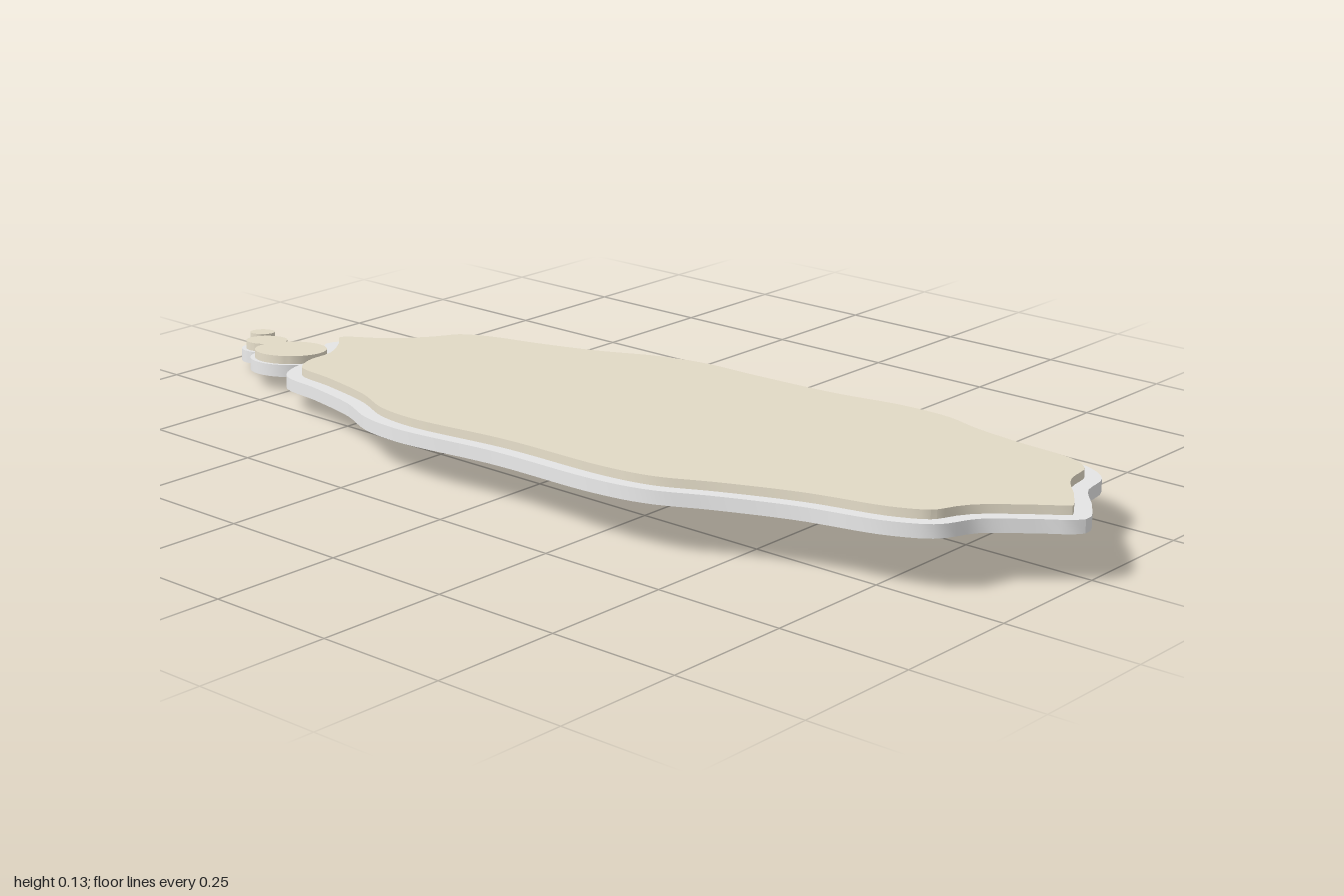
import * as THREE from 'three';
import { toCreasedNormals } from 'three/addons/utils/BufferGeometryUtils.js';

const RIM_HEIGHT = 0.024;
const TOP_HEIGHT = 0.04;
const BORDER = 0.03;

// Wavy outline as x, z pairs, anticlockwise seen from above
const OUTLINE = [
  1.0, 0.027, 0.963, -0.048, 0.9, -0.134, 0.872, -0.22, 0.808, -0.273, 0.663, -0.31,
  0.556, -0.342, 0.465, -0.38, 0.342, -0.396, 0.193, -0.386, 0.005, -0.396, -0.16, -0.41,
  -0.273, -0.39, -0.385, -0.342, -0.503, -0.31, -0.636, -0.283, -0.7, -0.246, -0.727, -0.176,
  -0.77, -0.112, -0.84, -0.059, -0.85, -0.021, -0.797, 0.037, -0.749, 0.102, -0.727, 0.176,
  -0.674, 0.246, -0.556, 0.278, -0.422, 0.321, -0.316, 0.374, -0.209, 0.396, 0.021, 0.39,
  0.273, 0.408, 0.38, 0.396, 0.487, 0.348, 0.62, 0.3, 0.781, 0.267, 0.85, 0.225,
  0.877, 0.15, 0.941, 0.086,
];

// Trailing bubbles: x, z, outer radius, border width
const BUBBLES = [
  ['largeBubble', -0.802, 0.12, 0.08, 0.009],
  ['mediumBubble', -0.9, 0.097, 0.05, 0.009],
  ['smallBubble', -0.967, 0.049, 0.033, 0.008],
];

// Upright slab between two heights from a closed outline
function slab(points, bottom, top) {
  const geo = new THREE.ExtrudeGeometry(new THREE.Shape(points), {
    depth: top - bottom, bevelEnabled: false,
  });
  geo.rotateX(-Math.PI / 2);
  geo.translate(0, bottom, 0);
  return toCreasedNormals(geo, 0.6);
}

// Smooth closed curve, pushed inwards by the inset
function cloudPoints(inset) {
  const control = [];
  for (let i = 0; i < OUTLINE.length; i += 2) {
    control.push(new THREE.Vector3(OUTLINE[i], -OUTLINE[i + 1], 0));
  }
  const curve = new THREE.CatmullRomCurve3(control, true);
  const points = [];
  for (let i = 0; i < 200; i++) {
    const p = curve.getPointAt(i / 200);
    const t = curve.getTangentAt(i / 200);
    points.push(new THREE.Vector2(p.x - t.y * inset, p.y + t.x * inset));
  }
  return points;
}

function circlePoints(x, z, radius) {
  return Array.from({ length: 48 }, (_, i) => {
    const a = (i / 48) * Math.PI * 2;
    return new THREE.Vector2(x + Math.cos(a) * radius, -z + Math.sin(a) * radius);
  });
}

export function createModel() {
  const white = new THREE.MeshStandardMaterial({ color: 0xe8e8e8 });
  white.name = 'white';
  const cream = new THREE.MeshStandardMaterial({ color: 0xe4dcc8 });
  cream.name = 'cream';

  const model = new THREE.Group();
  model.name = 'thoughtCloud';

  // White base with a smaller cream panel standing on it
  function addLayers(name, outer, inner) {
    const base = new THREE.Mesh(slab(outer, 0, RIM_HEIGHT), white);
    base.name = name + 'Base';
    const panel = new THREE.Mesh(slab(inner, RIM_HEIGHT - 0.004, TOP_HEIGHT), cream);
    panel.name = name + 'Panel';
    model.add(base, panel);
  }

  addLayers('cloud', cloudPoints(0), cloudPoints(BORDER));
  for (const [name, x, z, radius, border] of BUBBLES) {
    addLayers(name, circlePoints(x, z, radius), circlePoints(x, z, radius - border));
  }

  // Slight tilt, rising towards the left and the front
  const normal = new THREE.Vector3(-0.0395, 1, -0.075).normalize();
  model.quaternion.setFromUnitVectors(new THREE.Vector3(0, 1, 0), normal);
  model.position.y = 0.048;

  const root = new THREE.Group();
  root.name = 'model';
  root.add(model);
  return root;
}
